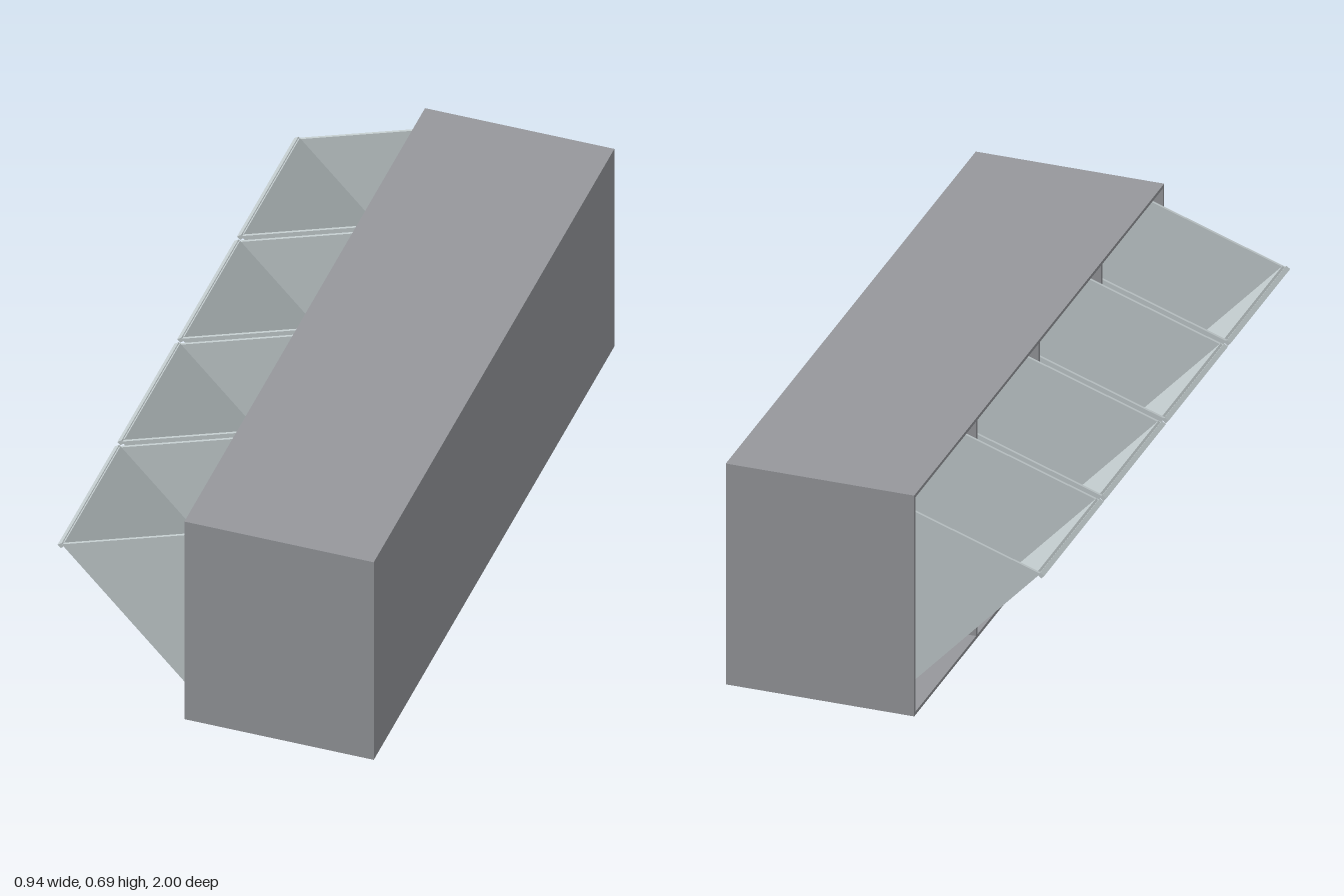
import * as THREE from 'three';

export function createModel() {
  const model = new THREE.Group();
  model.name = 'tiltBinCabinet';

  const cabinetGrey = new THREE.MeshStandardMaterial({ color: 0x96989c });
  cabinetGrey.name = 'cabinetGrey';
  const binGrey = new THREE.MeshStandardMaterial({ color: 0xc0c9cb });
  binGrey.name = 'binGrey';

  // Cabinet: thin boards, open on the -x side
  const x0 = -0.09, x1 = 0.467, height = 0.69, half = 1, t = 0.01;
  const cabinet = new THREE.Group();
  cabinet.name = 'cabinet';
  model.add(cabinet);

  function board(name, ax, bx, ay, by, az, bz) {
    const mesh = new THREE.Mesh(new THREE.BoxGeometry(bx - ax, by - ay, bz - az), cabinetGrey);
    mesh.position.set((ax + bx) / 2, (ay + by) / 2, (az + bz) / 2);
    mesh.name = name;
    cabinet.add(mesh);
  }
  board('floor', x0, x1, 0, t, -half, half);
  board('top', x0, x1, height - t, height, -half, half);
  board('backWall', x1 - t, x1, t, height - t, -half, half);
  for (const s of [-1, 1]) {
    const z = s * (half - t / 2);
    board('endWall', x0, x1 - t, t, height - t, z - t / 2, z + t / 2);
  }
  for (const z of [-0.5, 0, 0.5]) {
    board('divider', x0, x1 - t, t, height - t, z - t / 2, z + t / 2);
  }

  // Flat prism with an x-y outline, centred on z
  function prism(name, points, depth, z) {
    const shape = new THREE.Shape(points.map(([x, y]) => new THREE.Vector2(x, y)));
    const geometry = new THREE.ExtrudeGeometry(shape, { depth, bevelEnabled: false });
    geometry.translate(0, 0, z - depth / 2);
    const mesh = new THREE.Mesh(geometry, binGrey);
    mesh.name = name;
    return mesh;
  }

  // Strip from a to b, with its thickness on the left of that direction
  function strip(a, b, w) {
    const dx = b[0] - a[0], dy = b[1] - a[1], l = Math.hypot(dx, dy);
    const nx = -dy / l * w, ny = dx / l * w;
    return [a, b, [b[0] + nx, b[1] + ny], [a[0] + nx, a[1] + ny]];
  }

  // Tilted bin section: outer lip, foot, inner back corner, inner top corner
  const lip = [-0.457, 0.504], foot = [0, 0.014], back = [0.42, 0.36], top = [0.04, 0.675];
  const width = 0.476, wall = 0.008;

  for (let i = 0; i < 4; i++) {
    const bin = new THREE.Group();
    bin.name = 'tiltBin';
    for (const s of [-1, 1]) {
      bin.add(prism('binSide', [lip, foot, back, top], wall, s * (width - wall) / 2));
    }
    const inner = width - 2 * wall;
    bin.add(prism('binFront', strip(lip, foot, 0.01), inner, 0));
    bin.add(prism('binBottom', strip(foot, back, 0.01), inner, 0));
    // Grip edge along the outer rim
    bin.add(prism('binGrip', [[-0.469, 0.5], [-0.46, 0.49], [-0.449, 0.5], [-0.457, 0.508]], width, 0));
    bin.position.z = -0.001 + (i - 1.5) * 0.497;
    model.add(bin);
  }
  return model;
}
